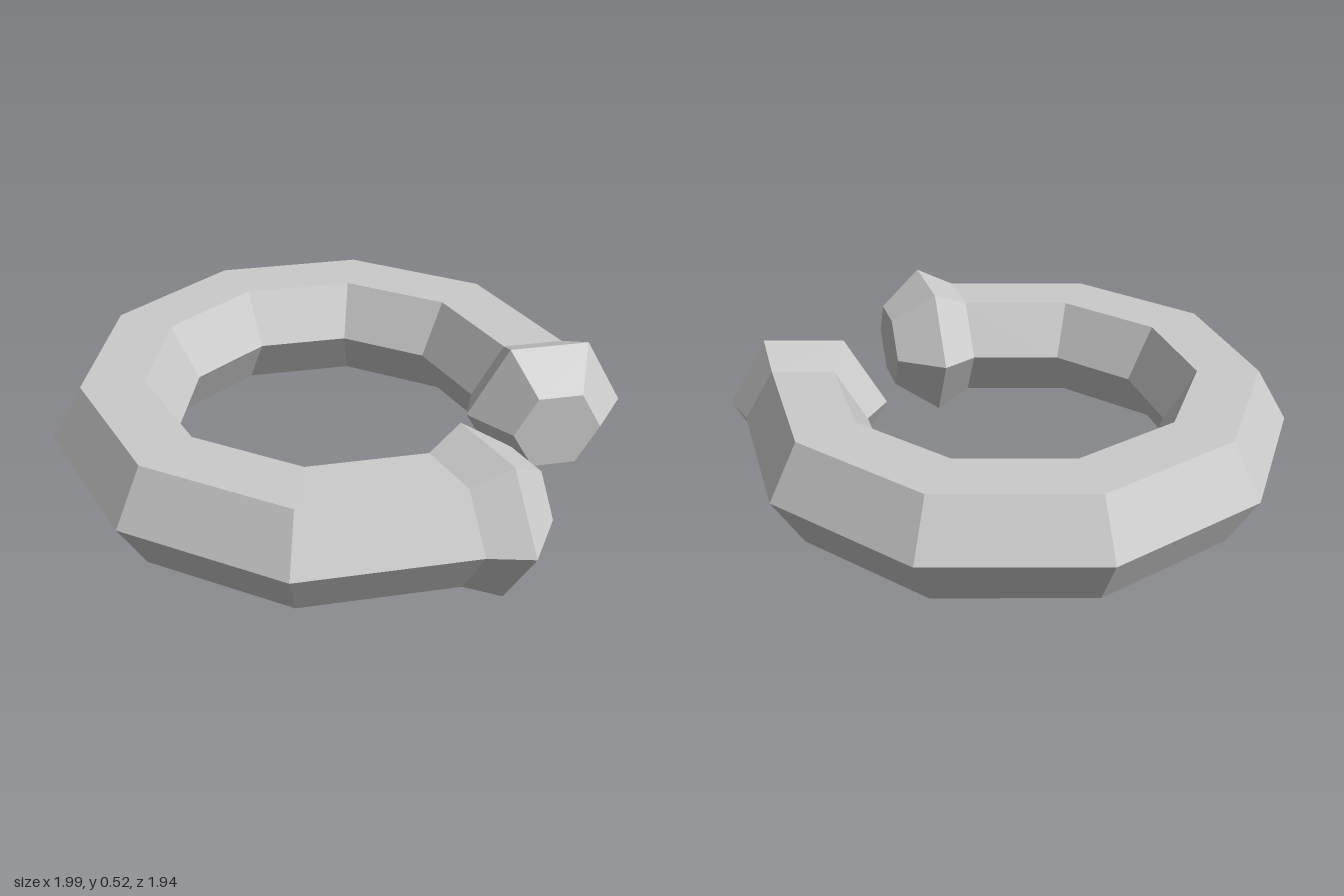
import * as THREE from 'three';

const SIDES = 6, RING_X = 0.02, RING_Y = 0.265, RING_R = 0.79, TUBE_R = 0.23;

// Hexagonal section of radius r at a ring angle, shifted along the tangent and outwards
function section(angle, r, along = 0, out = 0) {
  const radial = new THREE.Vector3(Math.cos(angle), 0, Math.sin(angle));
  const tangent = new THREE.Vector3(-Math.sin(angle), 0, Math.cos(angle));
  const centre = new THREE.Vector3(RING_X, RING_Y, 0)
    .addScaledVector(radial, RING_R + out)
    .addScaledVector(tangent, along);
  return Array.from({ length: SIDES }, (_, j) => {
    const a = (j / SIDES) * Math.PI * 2;
    const p = centre.clone().addScaledVector(radial, r * Math.cos(a));
    p.y += r * Math.sin(a);
    return p;
  });
}

// Skin consecutive sections, optionally closing the first or last one
function loft(name, sections, material, capStart, capEnd) {
  const points = [];
  for (let i = 0; i < sections.length - 1; i++) {
    for (let j = 0; j < SIDES; j++) {
      const k = (j + 1) % SIDES;
      const a = sections[i][j], b = sections[i][k];
      const c = sections[i + 1][k], d = sections[i + 1][j];
      points.push(a, b, c, a, c, d);
    }
  }
  const first = sections[0], last = sections[sections.length - 1];
  for (let j = 1; j < SIDES - 1; j++) {
    if (capStart) points.push(first[0], first[j + 1], first[j]);
    if (capEnd) points.push(last[0], last[j], last[j + 1]);
  }
  const geometry = new THREE.BufferGeometry().setFromPoints(points);
  geometry.computeVertexNormals();
  const mesh = new THREE.Mesh(geometry, material);
  mesh.name = name;
  return mesh;
}

export function createModel() {
  const group = new THREE.Group();
  group.name = 'openRing';
  const material = new THREE.MeshStandardMaterial({ color: 0xcccccc, flatShading: true });
  const step = Math.PI / 5;

  // Ten-sided ring with the two segments on the +x side left out
  const ring = [];
  for (let i = 1; i <= 9; i++) ring.push(section(i * step, TUBE_R));
  group.add(loft('ringBody', ring, material, false, false));

  // Faceted knobs: flare out, then taper to a flat hexagonal end
  const knob = (angle, s) => [
    section(angle, TUBE_R),
    section(angle, 0.302, s * 0.137, 0.012),
    section(angle, 0.167, s * 0.31, 0.004),
  ];
  group.add(loft('frontKnob', knob(step, -1).reverse(), material, true, false));
  group.add(loft('backKnob', knob(9 * step, 1), material, false, true));
  return group;
}
